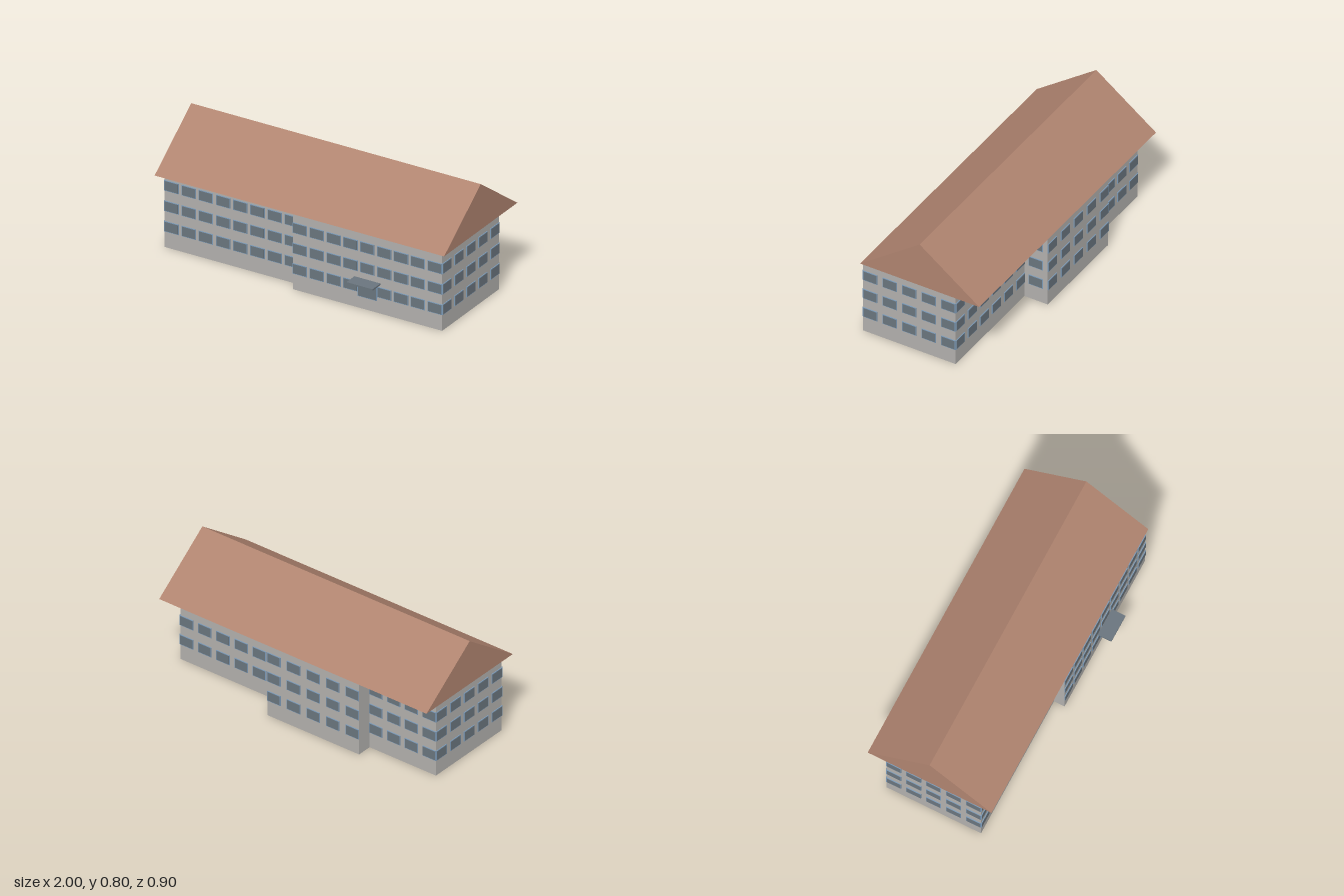
import * as THREE from 'three';

const mat = (name, color) => {
  const m = new THREE.MeshStandardMaterial({ color });
  m.name = name;
  return m;
};

export function createModel() {
  const wall = mat('grey render', 0xb2b0ad);
  const roofTile = mat('roof tile', 0xb08470);
  const glass = mat('slate glass', 0x6a757e);
  const frame = mat('blue frame', 0x7d9bb8);

  const model = new THREE.Group();
  model.name = 'building';

  const add = (parent, name, geometry, material, x = 0, y = 0, z = 0) => {
    const mesh = new THREE.Mesh(geometry, material);
    mesh.name = name;
    mesh.position.set(x, y, z);
    parent.add(mesh);
    return mesh;
  };
  const extrude = (points, depth) => new THREE.ExtrudeGeometry(
    new THREE.Shape(points.map(([x, y]) => new THREE.Vector2(x, y))),
    { depth, bevelEnabled: false });

  // Stepped footprint (x, z), walked so the outside is on the right
  const footprint = [
    [-0.98, 0.29], [-0.05, 0.29], [-0.05, 0.36], [0.98, 0.36], [0.98, -0.275],
    [0.2, -0.275], [0.2, -0.435], [-0.484, -0.435], [-0.484, -0.335], [-0.98, -0.335],
  ];
  const wallGeo = extrude(footprint.map(([x, z]) => [x, -z]), 0.5);
  wallGeo.rotateX(-Math.PI / 2);
  add(model, 'walls', wallGeo, wall);

  // Gable roof, ridge along x
  const roofGeo = extrude([[-0.37, 0.5], [0.45, 0.5], [0.04, 0.8]], 2);
  roofGeo.translate(0, 0, -1).rotateY(Math.PI / 2);
  add(model, 'roof', roofGeo, roofTile);

  // Framed pane, standing slightly proud of its wall
  const W = 0.098, H = 0.068, BORDER = 0.004;
  const pane = (parent, name, w, h, x, y) => {
    const group = new THREE.Group();
    group.name = name;
    group.position.set(x, y, 0);
    add(group, name + 'Frame', new THREE.BoxGeometry(w, h, 0.005), frame, 0, 0, 0.0025);
    add(group, name + 'Glass',
      new THREE.BoxGeometry(w - 2 * BORDER, h - 2 * BORDER, 0.002), glass, 0, 0, 0.005);
    parent.add(group);
  };

  // Three rows of windows spread along every wall that is long enough
  footprint.forEach(([x0, z0], i) => {
    const [x1, z1] = footprint[(i + 1) % footprint.length];
    const length = Math.hypot(x1 - x0, z1 - z0);
    const count = Math.floor(length / 0.114);
    if (!count) return;
    const side = new THREE.Group();
    side.name = 'windowWall' + i;
    side.position.set((x0 + x1) / 2, 0, (z0 + z1) / 2);
    side.rotation.y = Math.atan2(z0 - z1, x1 - x0);
    const pitch = count > 1 ? (length - W) / (count - 1) : 0;
    for (let row = 0; row < 3; row++) {
      for (let k = 0; k < count; k++) {
        const isDoorBay = i === 2 && row === 0 && k === 4;
        if (isDoorBay) continue;
        pane(side, 'window', W, H, (k - (count - 1) / 2) * pitch, 0.139 + row * 0.1345);
      }
    }
    if (i === 2) pane(side, 'door', 0.13, 0.11, 0, 0.133);
    model.add(side);
  });

  // Flat canopy over the entrance
  add(model, 'canopy', new THREE.BoxGeometry(0.18, 0.01, 0.09), glass, 0.465, 0.194, 0.405);

  return model;
}
